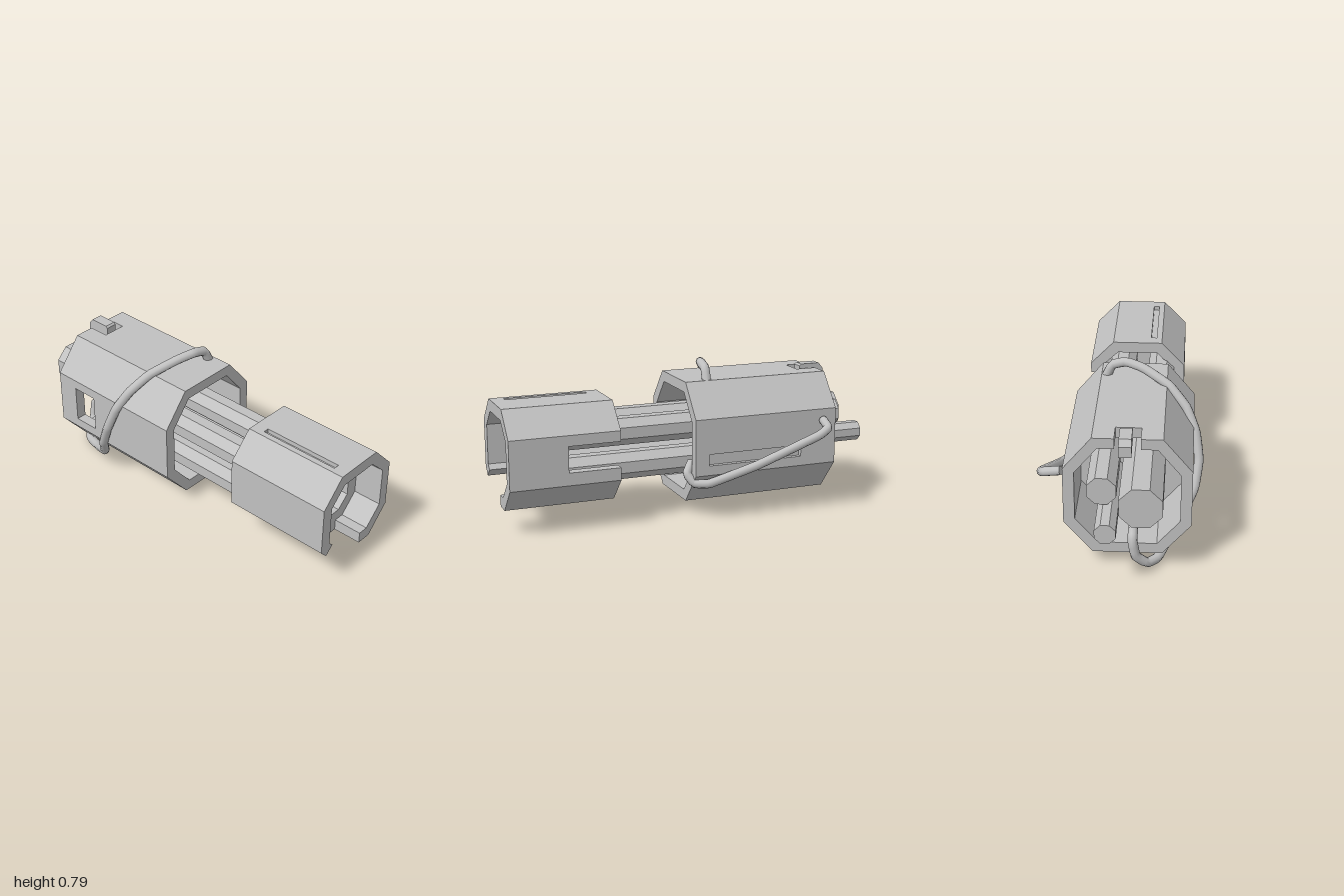
import * as THREE from 'three';

const grey = new THREE.MeshStandardMaterial({ color: 0xc0c0c0 });
grey.name = 'plain grey';

// Octagon corners, counter-clockwise, starting at the lower end of the right side
function octagon(x0, x1, y0, y1, fx0, fx1, fy0, fy1) {
  return [[x1, fy0], [x1, fy1], [fx1, y1], [fx0, y1], [x0, fy1], [x0, fy0], [fx0, y0], [fx1, y0]];
}
const vec = (pts) => pts.map(([x, y]) => new THREE.Vector2(x, y));

function extrude(shape, z0, z1) {
  const g = new THREE.ExtrudeGeometry(shape, { depth: z1 - z0, bevelEnabled: false });
  return g.translate(0, 0, z0);
}

// Slice of an octagonal shell. A groove adds points to one outer edge;
// a gap opens the wall from edge e1 to edge e2.
function ring(outer, inner, z0, z1, { groove, gap } = {}) {
  const emit = (i) => (groove && groove.edge === i ? [outer[i], ...groove.pts] : [outer[i]]);
  if (!gap) {
    const shape = new THREE.Shape(vec(outer.flatMap((p, i) => emit(i))));
    shape.holes.push(new THREE.Path(vec(inner)));
    return extrude(shape, z0, z1);
  }
  const { e1, e2, a, b, ai, bi } = gap;
  const count = ((e1 - e2 + 7) % 8) + 1;
  const ids = Array.from({ length: count }, (_, k) => (e2 + 1 + k) % 8);
  const pts = [b, ...ids.flatMap(emit), a, ai, ...ids.map((i) => inner[i]).reverse(), bi];
  return extrude(new THREE.Shape(vec(pts)), z0, z1);
}

export function createModel() {
  const model = new THREE.Group();
  const add = (name, geometry, parent = model) => {
    const m = new THREE.Mesh(geometry, grey);
    m.name = name;
    parent.add(m);
    return m;
  };
  const group = (name) => {
    const g = new THREE.Group();
    g.name = name;
    model.add(g);
    return g;
  };

  // Front housing: shell with top groove, side slot and an open lower lip
  const front = group('frontHousing');
  const fo = octagon(-0.29, 0.225, 0.12, 0.635, -0.165, 0.1, 0.25, 0.505);
  const fi = octagon(-0.23, 0.17, 0.18, 0.575, -0.14, 0.075, 0.275, 0.485);
  const topGroove = { edge: 2, pts: [[-0.105, 0.635], [-0.105, 0.612], [-0.135, 0.612], [-0.135, 0.635]] };
  const sideSlot = { e1: 0, e2: 0, a: [0.225, 0.315], b: [0.225, 0.45], ai: [0.17, 0.315], bi: [0.17, 0.45] };
  const lip = { e1: 5, e2: 6, a: [-0.25, 0.208], b: [0.02, 0.12], ai: [-0.205, 0.25], bi: [0.02, 0.18] };
  [
    [0.43, 0.5, { gap: sideSlot }],
    [0.5, 0.7, { gap: sideSlot, groove: topGroove }],
    [0.7, 0.85, { groove: topGroove }],
    [0.85, 0.93, { gap: lip, groove: topGroove }],
    [0.93, 1.0, { gap: lip }],
  ].forEach(([z0, z1, cut]) => add('frontShell', ring(fo, fi, z0, z1, cut), front));

  // Recessed face plate, inner collar and closed bore
  const hole = octagon(-0.17, 0.105, 0.235, 0.53, -0.105, 0.04, 0.295, 0.475);
  const collar = octagon(-0.155, 0.09, 0.253, 0.508, -0.1, 0.04, 0.3, 0.465);
  const bore = octagon(-0.12, 0.055, 0.285, 0.475, -0.083, 0.022, 0.322, 0.435);
  add('facePlate', ring(fi, hole, 0.74, 0.85), front);
  add('collar', ring(collar, bore, 0.74, 0.81), front);
  add('boreFloor', extrude(new THREE.Shape(vec(fi)), 0.7, 0.75), front);

  // Rear housing: shell with side groove, side window and a notch at the top back
  const rear = group('rearHousing');
  const ro = octagon(-0.35, 0.265, 0.07, 0.7, -0.21, 0.125, 0.235, 0.53);
  const ri = octagon(-0.295, 0.21, 0.125, 0.645, -0.185, 0.1, 0.255, 0.51);
  const sideGroove = { edge: 0, pts: [[0.265, 0.285], [0.24, 0.285], [0.24, 0.345], [0.265, 0.345]] };
  const windowGap = { e1: 4, e2: 4, a: [-0.35, 0.48], b: [-0.35, 0.285], ai: [-0.295, 0.48], bi: [-0.295, 0.285] };
  const notch = { e1: 2, e2: 2, a: [0.02, 0.7], b: [-0.105, 0.7], ai: [0.02, 0.645], bi: [-0.105, 0.645] };
  [
    [-0.75, -0.64, { gap: notch }],
    [-0.64, -0.63, {}],
    [-0.63, -0.55, { gap: windowGap }],
    [-0.55, -0.49, { gap: windowGap, groove: sideGroove }],
    [-0.49, -0.03, { groove: sideGroove }],
    [-0.03, 0.045, {}],
  ].forEach(([z0, z1, cut]) => add('rearShell', ring(ro, ri, z0, z1, cut), rear));
  add('bulkhead', extrude(new THREE.Shape(vec(ri)), -0.4, -0.25), rear);

  // Eight-sided rods running along z
  const rod = (name, x, y, d, z0, z1) => {
    const g = new THREE.CylinderGeometry(d / 2 / Math.cos(Math.PI / 8), d / 2 / Math.cos(Math.PI / 8), z1 - z0, 8)
      .rotateY(Math.PI / 8).rotateX(Math.PI / 2).translate(x, y, (z0 + z1) / 2).toNonIndexed();
    g.computeVertexNormals();
    add(name, g);
  };
  for (const x of [-0.165, 0.047]) for (const y of [0.28, 0.46]) rod('connectingRod', x, y, 0.14, -0.3, 0.72);
  rod('largeRearRod', -0.113, 0.43, 0.205, -0.92, -0.3);
  rod('mediumRearRod', 0.075, 0.465, 0.14, -0.835, -0.3);
  rod('smallRearRod', 0.047, 0.337, 0.1, -1, -0.3);

  // Hooked catch over the back edge, drawn in profile and turned to face sideways
  const profile = [[0.67, 0.65], [0.745, 0.65], [0.745, 0.635], [0.81, 0.635], [0.81, 0.69], [0.785, 0.72], [0.68, 0.72], [0.67, 0.71]];
  add('catch', extrude(new THREE.Shape(vec(profile)), -0.03, 0.03).rotateY(Math.PI / 2).translate(-0.034, 0, 0));

  // Bent cables
  const cable = (name, pts, r) => {
    const path = new THREE.CatmullRomCurve3(pts.map((p) => new THREE.Vector3(...p)), false, 'catmullrom', 0.15);
    add(name, new THREE.TubeGeometry(path, 72, r, 10));
    // end caps
    [[0, -1], [1, 1]].forEach(([t, s]) => {
      const cap = add(name + 'End', new THREE.CircleGeometry(r, 10));
      cap.position.copy(path.getPointAt(t));
      cap.quaternion.setFromUnitVectors(new THREE.Vector3(0, 0, 1), path.getTangentAt(t).multiplyScalar(s));
    });
  };
  cable('sideCable', [
    [0.28, 0.473, -0.67], [0.368, 0.453, -0.652], [0.382, 0.42, -0.59], [0.325, 0.28, -0.27],
    [0.272, 0.195, -0.03], [0.235, 0.193, 0.04], [0.205, 0.24, 0.07], [0.17, 0.29, 0.03],
  ], 0.023);
  cable('loopCable', [
    [0.105, 0.68, -0.08], [0.07, 0.753, -0.085], [0, 0.773, -0.09], [-0.09, 0.757, -0.125], [-0.22, 0.7, -0.195],
    [-0.31, 0.61, -0.255], [-0.36, 0.5, -0.31], [-0.379, 0.37, -0.36], [-0.36, 0.24, -0.42], [-0.3, 0.12, -0.48],
    [-0.235, 0.05, -0.6], [-0.19, 0.025, -0.72], [-0.14, 0.03, -0.775], [-0.085, 0.085, -0.8],
    [-0.07, 0.17, -0.8], [-0.07, 0.2, -0.76], [-0.07, 0.21, -0.38],
  ], 0.024);

  return model;
}
